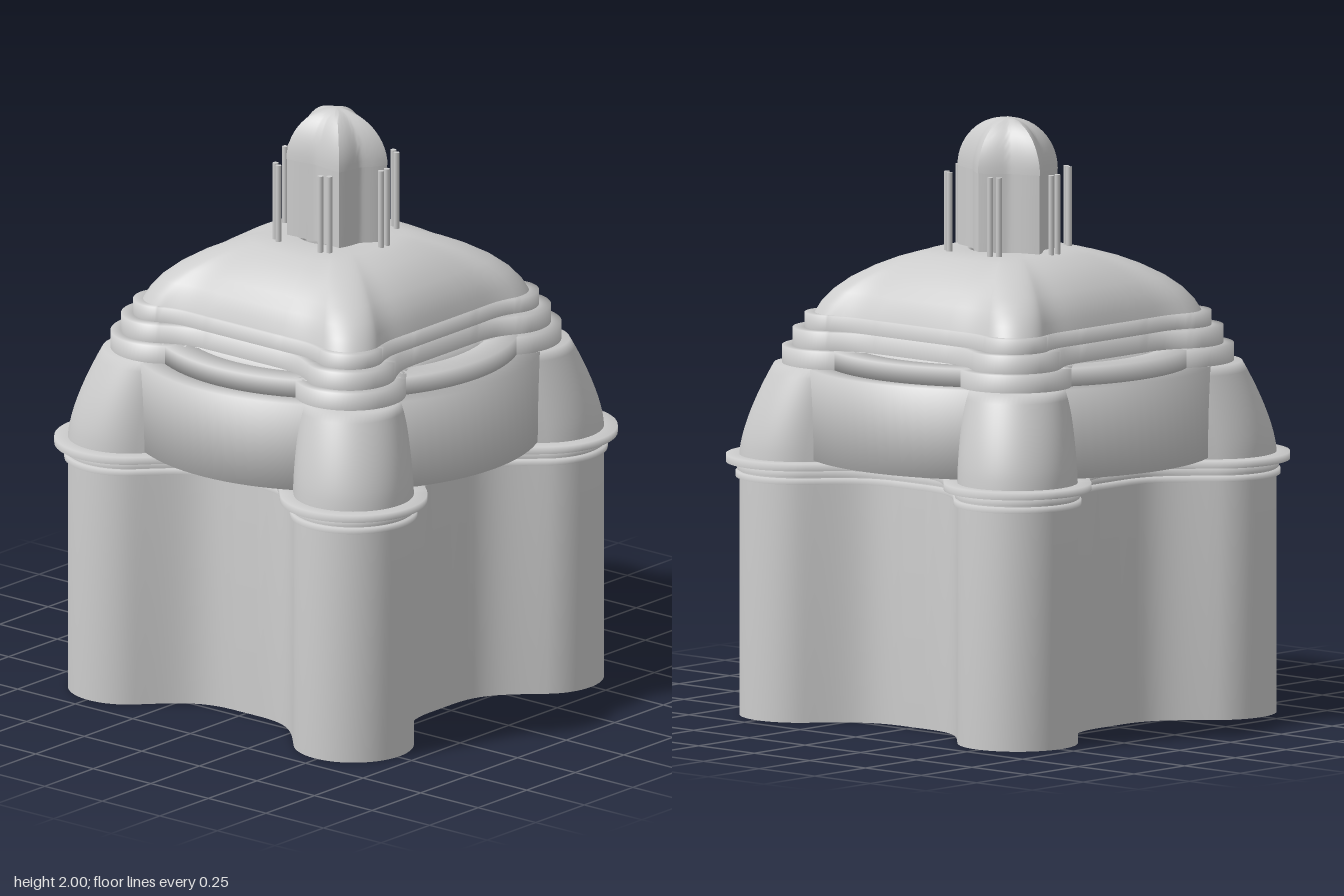
import * as THREE from 'three';
import { toCreasedNormals } from 'three/addons/utils/BufferGeometryUtils.js';

const stone = new THREE.MeshStandardMaterial({ color: 0xcccccc, side: THREE.DoubleSide });
stone.name = 'stone';

// Plan outline: four flat sides at distance s, half length f, joined by round corner lobes
// (centre c,c, radius r) through smooth fillets; arc is the lobe's half sweep in degrees.
function outline({ s, f, c, r, arc }) {
  const quarter = [];
  const a0 = THREE.MathUtils.degToRad(45 + arc), a1 = THREE.MathUtils.degToRad(45 - arc);
  const p = new THREE.Vector2(c + r * Math.cos(a0), c + r * Math.sin(a0));
  const h = Math.hypot(p.x - f, p.y - s) * 0.42;
  const fillet = new THREE.CubicBezierCurve(
    new THREE.Vector2(f, s), new THREE.Vector2(f + h, s),
    new THREE.Vector2(p.x - h * Math.sin(a0), p.y + h * Math.cos(a0)), p);
  const bend = fillet.getPoints(12);
  for (let i = 0; i < 8; i++) quarter.push(new THREE.Vector2(-f + 2 * f * i / 8, s));
  quarter.push(...bend);
  for (let i = 1; i < 32; i++) {
    const a = a0 + (a1 - a0) * i / 32;
    quarter.push(new THREE.Vector2(c + r * Math.cos(a), c + r * Math.sin(a)));
  }
  // the mirrored fillet leads into the next side
  for (let i = 12; i > 0; i--) quarter.push(new THREE.Vector2(bend[i].y, bend[i].x));
  const points = [];
  for (let q = 0; q < 4; q++)
    for (const v of quarter) points.push(v.clone().rotateAround(new THREE.Vector2(), -q * Math.PI / 2));
  return points.reverse();
}

// Skin through stacked rings: [{ y, points }], counter-clockwise in plan
function loft(rings) {
  const n = rings[0].points.length, pos = [], index = [];
  for (const { y, points } of rings) for (const p of points) pos.push(p.x, y, -p.y);
  for (let j = 0; j < rings.length - 1; j++)
    for (let i = 0; i < n; i++) {
      const a = j * n + i, b = j * n + (i + 1) % n;
      index.push(a, b, b + n, a, b + n, a + n);
    }
  const geo = new THREE.BufferGeometry();
  geo.setAttribute('position', new THREE.Float32BufferAttribute(pos, 3));
  geo.setIndex(index);
  geo.computeVertexNormals();
  return geo;
}

// Hollow, softly shaded band that follows a plan outline
function band(plan, thickness, y0, y1) {
  const outer = outline(plan);
  const inner = outline({ ...plan, s: plan.s - thickness, r: plan.r - thickness });
  return loft([
    { y: y0, points: outer }, { y: y1, points: outer },
    { y: y1, points: inner }, { y: y0, points: inner }, { y: y0, points: outer },
  ]);
}

// Five-pointed plan with hollowed sides
function starOutline(scale) {
  const points = [];
  for (let i = 0; i < 80; i++) {
    const a = Math.PI / 2 + i / 80 * Math.PI * 2;
    const t = Math.abs((i % 16) / 8 - 1);
    const r = scale * (0.72 + 0.28 * Math.pow(t, 1.6));
    points.push(new THREE.Vector2(0.195 * r * Math.cos(a), 0.148 * r * Math.sin(a)));
  }
  return points;
}

export function createModel() {
  const model = new THREE.Group();
  const add = (name, geo, parent = model) => {
    const mesh = new THREE.Mesh(geo, stone);
    mesh.name = name;
    parent.add(mesh);
    return mesh;
  };

  // Hollow lower walls with hollowed sides, and the cornice
  const wall = { s: 0.46, f: 0.06, c: 0.49, r: 0.2, arc: 92 };
  const grown = d => ({ ...wall, s: wall.s + d, r: wall.r + d });
  add('lowerWall', band(wall, 0.05, 0, 0.85));
  add('corniceLowerStrip', band(grown(0.012), 0.05, 0.8, 0.82));
  add('corniceMiddleStrip', band(grown(0.007), 0.04, 0.825, 0.85));
  add('corniceShelf', band(grown(0.045), 0.09, 0.85, 0.875));

  // Slim posts along the inside of the walls
  const posts = new THREE.Group();
  posts.name = 'innerPosts';
  model.add(posts);
  for (let q = 0; q < 4; q++)
    for (const side of [-1, 1]) {
      const spot = new THREE.Vector3(side * 0.2, 0, 0.45).applyAxisAngle(new THREE.Vector3(0, 1, 0), q * Math.PI / 2);
      add('innerPost', new THREE.CylinderGeometry(0.014, 0.014, 0.8, 12).translate(0, 0.4, 0), posts).position.copy(spot);
      add('innerPostFoot', new THREE.BoxGeometry(0.04, 0.03, 0.04).translate(0, 0.015, 0), posts).position.copy(spot);
    }

  // Domed corner buttresses, closed in under the ledges
  const buttressRings = [];
  for (let i = 0; i <= 10; i++) {
    const h = i / 10, t = Math.pow(h, 1.5);
    buttressRings.push({
      y: 0.875 + 0.305 * h,
      points: outline({ s: 0.46 + 0.015 * t, f: 0.06 + 0.1 * t, c: 0.49 - 0.06 * t, r: 0.2 - 0.03 * t, arc: 92 - 6 * t }),
    });
  }
  buttressRings.push({ y: 1.185, points: buttressRings[10].points.map(p => p.clone().multiplyScalar(0.86)) });
  add('cornerButtresses', loft(buttressRings));

  // Round drum and the ring on top of it
  const ring = (inner, outer, y0, y1) => new THREE.LatheGeometry(
    [[inner, y0], [outer, y0], [outer, y1], [inner, y1], [inner, y0]].map(p => new THREE.Vector2(...p)), 96);
  add('drum', ring(0.52, 0.685, 0.88, 1.18));
  add('drumRing', ring(0.52, 0.614, 1.18, 1.24));

  // Three stepped ledges under the dome
  [[0.185, 80, 1.18, 1.24], [0.15, 76, 1.24, 1.3], [0.11, 70, 1.3, 1.35]].forEach(([r, arc, y0, y1], i) => {
    add('ledge' + (i + 1), band({ s: 0.481 - i * 0.003, f: 0.16, c: 0.4, r, arc }, 0.06, y0, y1));
  });

  // Lobed dome, growing rounder towards its central opening
  const base = outline({ s: 0.464, f: 0.16, c: 0.38, r: 0.105, arc: 62 });
  const circle = r => base.map(p => p.clone().setLength(r));
  const profile = [[1, 1.35], [0.975, 1.385], [0.93, 1.425], [0.86, 1.465], [0.76, 1.503], [0.66, 1.53], [0.55, 1.55], [0.45, 1.56]];
  const domeRings = profile.map(([k, y]) => {
    const round = circle(0.464 * k), t = 0.75 * (1 - k) / 0.55;
    return { y, points: base.map((p, i) => p.clone().multiplyScalar(k).lerp(round[i], t)) };
  });
  domeRings.push({ y: 1.562, points: circle(0.135) }, { y: 1.555, points: circle(0.12) }, { y: 1.52, points: circle(0.115) });
  add('dome', loft(domeRings));

  // Star-shaped lantern with its cap
  const lantern = new THREE.Group();
  lantern.name = 'lantern';
  model.add(lantern);
  const body = loft([1.56, 1.65, 1.74, 1.825].map(y => ({ y, points: starOutline(0.99) })));
  add('lanternBody', toCreasedNormals(body, 0.7), lantern);
  const capRings = [];
  for (let i = 0; i <= 14; i++) {
    const a = i / 14 * Math.PI / 2;
    capRings.push({ y: 1.825 + 0.175 * Math.sin(a), points: starOutline(Math.max(Math.cos(a), 0.001)) });
  }
  add('lanternCap', toCreasedNormals(loft(capRings), 0.7), lantern);

  // Six pairs of slim columns around the lantern
  for (let i = 0; i < 6; i++) {
    const pair = new THREE.Group();
    pair.name = 'columnPair';
    pair.rotation.y = i * Math.PI / 3;
    lantern.add(pair);
    for (const z of [-0.015, 0.015])
      add('column', new THREE.CylinderGeometry(0.01, 0.01, 0.27, 12), pair).position.set(0.208, 1.69, z);
  }
  return model;
}
